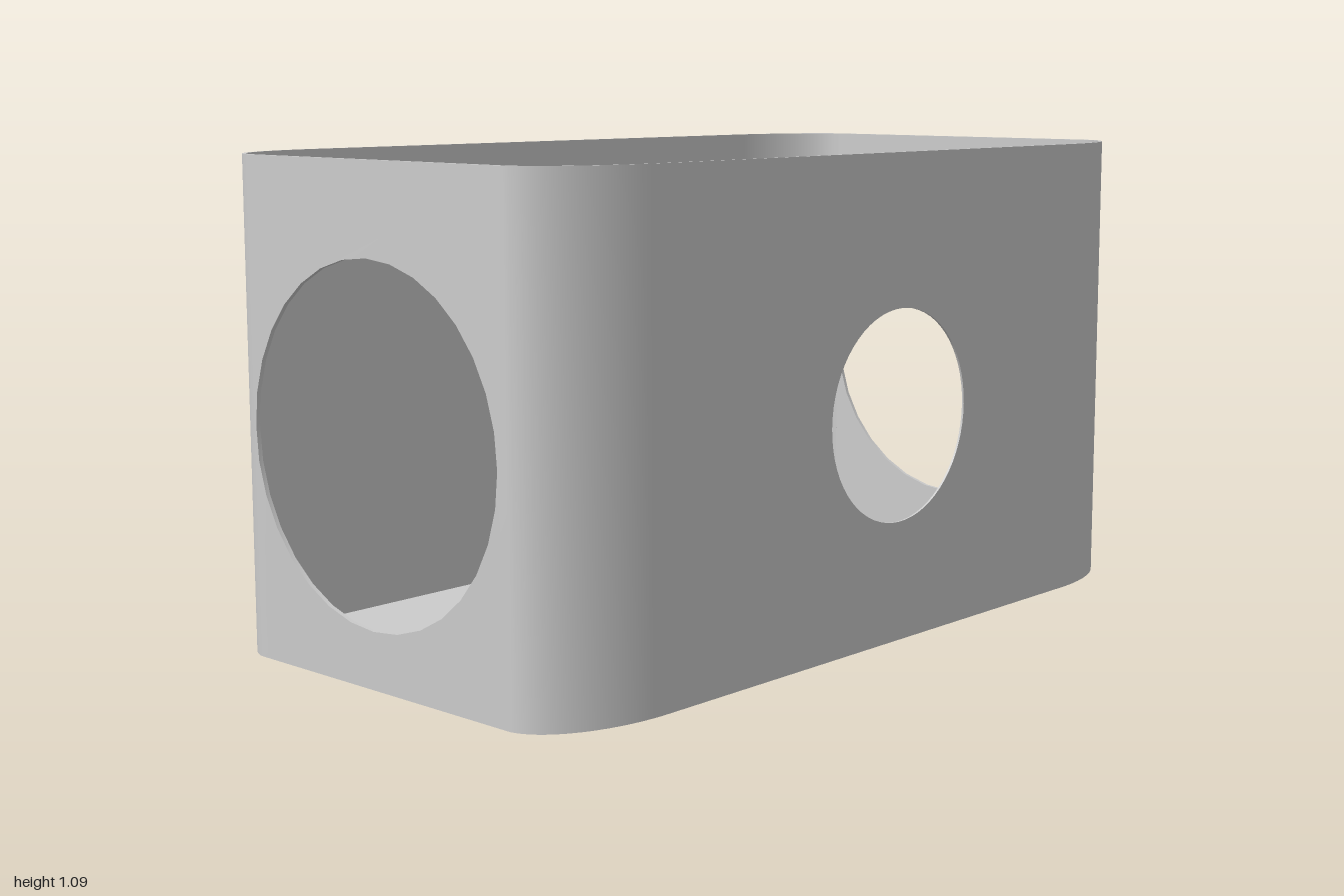
import * as THREE from 'three';
import { mergeGeometries, toCreasedNormals } from 'three/addons/utils/BufferGeometryUtils.js';

const HX = 0.545, HZ = 1, H = 1.09;   // half width, half length, height
const RX = 0.16, RZ = 0.294;          // elliptical corner radii
const TX = 0.005, TZ = 0.01;          // wall thickness of sides and ends
const FLOOR = 0.006;
const CX = HX - RX, CZ = HZ - RZ;     // corner centres
const END = 0.4;                      // half width of an end panel

// Points on one corner arc, inset from the outer face by the wall thickness
function arc(sx, sz, t1, inset) {
  const pts = [];
  for (let i = 0; i <= 20; i++) {
    const t = (t1 * i) / 20;
    pts.push(new THREE.Vector2(
      sx * (CX + (RX - inset * TX) * Math.cos(t)),
      sz * (CZ + (RZ - inset * TZ) * Math.sin(t))));
  }
  return pts;
}

// Upright panel with an optional round hole, extruded from z = 0 to z = depth
function panel(halfWidth, depth, hole, segments) {
  const shape = new THREE.Shape([
    new THREE.Vector2(-halfWidth, 0), new THREE.Vector2(halfWidth, 0),
    new THREE.Vector2(halfWidth, H), new THREE.Vector2(-halfWidth, H)]);
  if (hole) {
    const path = new THREE.Path();
    path.absarc(hole.x, hole.y, hole.r, 0, Math.PI * 2, true);
    shape.holes.push(path);
  }
  return new THREE.ExtrudeGeometry(shape, { depth, bevelEnabled: false, curveSegments: segments });
}

// End panel whose outer margins follow the start of the corner curve
function endPanel(outerZ) {
  const geo = panel(END, TZ, { x: -0.01, y: 0.509, r: 0.384 }, 16);
  geo.translate(0, 0, outerZ > 0 ? outerZ - TZ : outerZ);
  const p = geo.attributes.position;
  for (let i = 0; i < p.count; i++) {
    const d = Math.max(0, Math.abs(p.getX(i)) - CX) / RX;
    const drop = RZ * (1 - Math.sqrt(1 - d * d));
    p.setZ(i, p.getZ(i) - Math.sign(outerZ) * drop);
  }
  return geo;
}

// Extrude a plan outline upwards
function upright(points, depth) {
  return new THREE.ExtrudeGeometry(new THREE.Shape(points), { depth, bevelEnabled: false })
    .rotateX(-Math.PI / 2);
}

export function createModel() {
  const group = new THREE.Group();
  const material = new THREE.MeshStandardMaterial({ color: 0xcccccc, side: THREE.DoubleSide });

  // Front and back walls, each with a large opening
  const parts = [endPanel(HZ), endPanel(-HZ)];

  // Left wall with a smaller opening, right wall plain
  parts.push(panel(CZ, TX, { x: 0.04, y: 0.51, r: 0.239 }, 32)
    .rotateY(Math.PI / 2).translate(HX - TX, 0, 0));
  parts.push(panel(CZ, TX).rotateY(Math.PI / 2).translate(-HX, 0, 0));

  // Four rounded corners
  const tEnd = Math.acos((END - CX) / RX);
  for (const sx of [-1, 1]) for (const sz of [-1, 1]) {
    const ring = [...arc(sx, sz, tEnd, 0), ...arc(sx, sz, tEnd, 1).reverse()];
    parts.push(upright(ring, H));
  }
  const walls = new THREE.Mesh(toCreasedNormals(mergeGeometries(parts), 0.5), material);
  walls.name = 'walls';

  // Closed floor filling the inside of the walls
  const q = Math.PI / 2;
  const outline = [
    ...arc(1, 1, q, 1), ...arc(-1, 1, q, 1).reverse(),
    ...arc(-1, -1, q, 1), ...arc(1, -1, q, 1).reverse()];
  const floor = new THREE.Mesh(toCreasedNormals(upright(outline, FLOOR), 0.5), material);
  floor.name = 'floor';

  group.add(walls, floor);
  return group;
}
